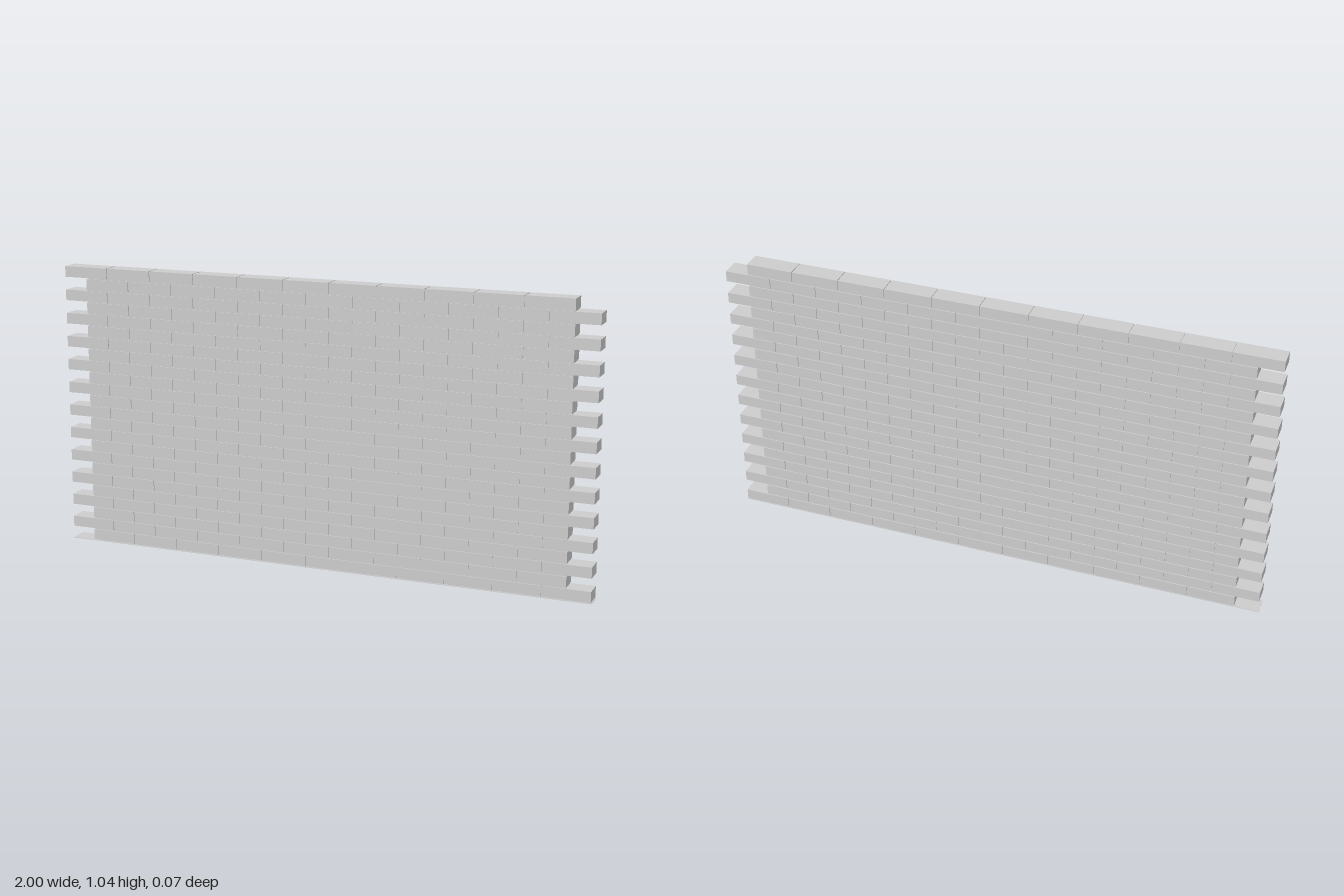
import * as THREE from 'three';

const COURSES = 24, PER_COURSE = 11;
const PITCH_X = 0.1739, PITCH_Y = 0.0433, JOINT = 0.004, DEPTH = 0.068;

export function createModel() {
  const wall = new THREE.Group();
  wall.name = 'brickWall';
  const material = new THREE.MeshStandardMaterial({ color: 0xcccccc, flatShading: true });

  const addBox = (parent, name, w, h, d, x, y) => {
    const mesh = new THREE.Mesh(new THREE.BoxGeometry(w, h, d), material);
    mesh.name = name;
    mesh.position.set(x, y, 0);
    parent.add(mesh);
  };

  // Running bond: alternate courses shift by half a brick, leaving toothed ends
  for (let row = 0; row < COURSES; row++) {
    const course = new THREE.Group();
    course.name = 'course' + (row + 1);
    const start = row % 2 === 0 ? -1 + PITCH_X / 2 : -1;
    for (let i = 0; i < PER_COURSE; i++) {
      addBox(course, 'brick', PITCH_X - JOINT, PITCH_Y - JOINT, DEPTH,
        start + (i + 0.5) * PITCH_X, JOINT + (PITCH_Y - JOINT) / 2 + row * PITCH_Y);
    }
    wall.add(course);
  }

  // Recessed mortar filling the joints
  const height = COURSES * PITCH_Y;
  addBox(wall, 'mortarCore', 1.818, height - 0.006, DEPTH - 0.008, 0, height / 2);

  // Thin mortar bed under the first course
  addBox(wall, 'mortarBed', 2, 0.002, DEPTH, 0, 0.001);

  return wall;
}
